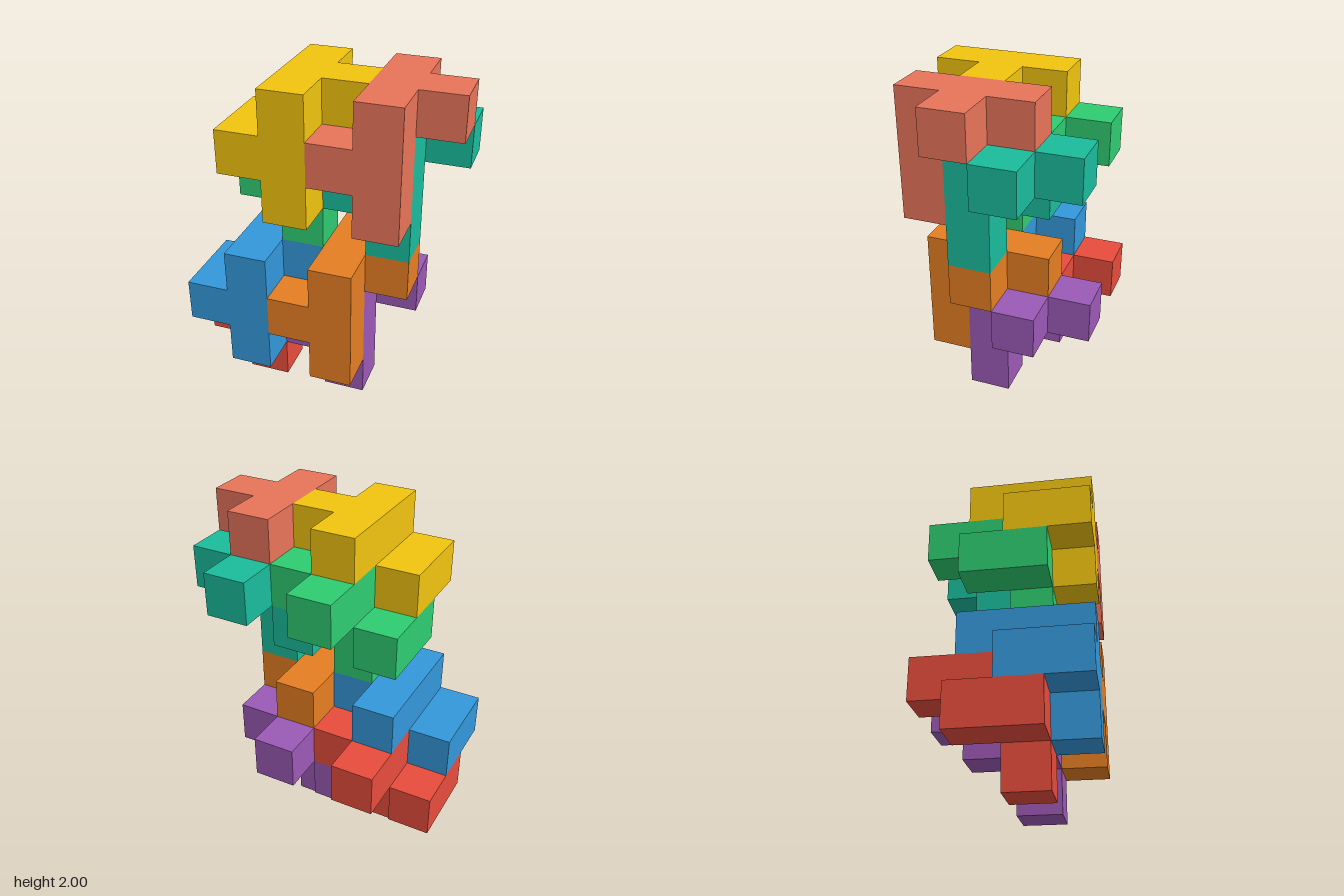
import * as THREE from 'three';
import { mergeGeometries } from 'three/addons/utils/BufferGeometryUtils.js';

const U = 0.25; // edge of one cube

// Box covering whole grid cells: first cell (i, j, k) and its extent in cells
function bar([i, j, k], [w, h, d]) {
  return new THREE.BoxGeometry(w * U, h * U, d * U)
    .translate((i + w / 2 - 3) * U, (j + h / 2) * U, (k + d / 2 - 2) * U);
}

// The one eight-cube block that repeats throughout the stack
function blockGeometry() {
  return mergeGeometries([
    bar([1, 1, 3], [1, 3, 1]), // upright column
    bar([0, 2, 2], [1, 1, 2]), // side arm
    bar([1, 3, 1], [1, 1, 2]), // beam running back
    bar([2, 3, 2], [1, 1, 1]), // side stub
  ]);
}

export function createModel() {
  const model = new THREE.Group();
  model.name = 'interlockingBlocks';
  const geometry = blockGeometry();

  // Name, colour and offset in cells of each copy
  const blocks = [
    ['lowerRightFrontBlock', 0x3498db, [0, 0, 0]],
    ['lowerLeftFrontBlock', 0xe67e22, [2, 0, 0]],
    ['lowerRightBackBlock', 0xe74c3c, [0, -1, -1]],
    ['lowerLeftBackBlock', 0x9b59b6, [2, -1, -1]],
    ['upperRightFrontBlock', 0xf1c40f, [1, 4, 0]],
    ['upperLeftFrontBlock', 0xe8745a, [3, 4, 0]],
    ['upperRightBackBlock', 0x2ecc71, [1, 3, -1]],
    ['upperLeftBackBlock', 0x1abc9c, [3, 3, -1]],
  ];
  for (const [name, color, offset] of blocks) {
    const mesh = new THREE.Mesh(geometry, new THREE.MeshStandardMaterial({ color }));
    mesh.name = name;
    mesh.position.set(...offset).multiplyScalar(U);
    model.add(mesh);
  }
  return model;
}
